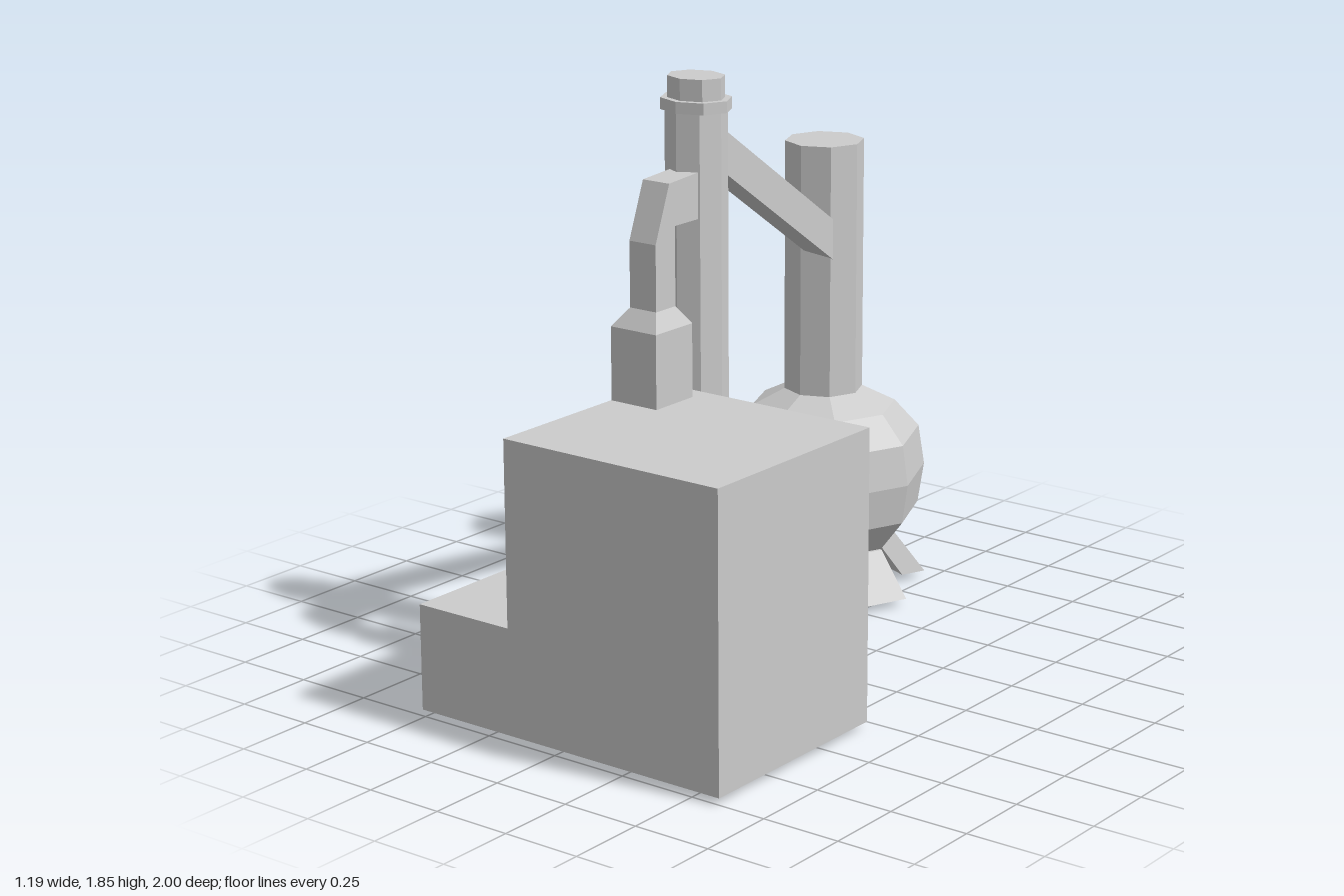
import * as THREE from 'three';

const material = new THREE.MeshStandardMaterial({ color: 0xcccccc, flatShading: true });

export function createModel() {
  const model = new THREE.Group();

  const add = (name, geometry, parent = model) => {
    const mesh = new THREE.Mesh(geometry, material);
    mesh.name = name;
    parent.add(mesh);
    return mesh;
  };

  // Box given by its limits on each axis
  const block = (x0, x1, y0, y1, z0, z1) =>
    new THREE.BoxGeometry(x1 - x0, y1 - y0, z1 - z0)
      .translate((x0 + x1) / 2, (y0 + y1) / 2, (z0 + z1) / 2);

  // Box whose lower and upper rectangles differ: [x0, x1, z0, z1]
  const frustum = (y0, y1, low, high) => {
    const g = new THREE.BoxGeometry(1, 1, 1);
    const p = g.attributes.position;
    for (let i = 0; i < p.count; i++) {
      const r = p.getY(i) > 0 ? high : low;
      p.setXYZ(i, r[p.getX(i) > 0 ? 1 : 0], p.getY(i) > 0 ? y1 : y0, r[p.getZ(i) > 0 ? 3 : 2]);
    }
    g.computeVertexNormals();
    return g;
  };

  // Side outline of [z, y] points extruded across x
  const duct = (points, x0, x1) => {
    const shape = new THREE.Shape(points.map(([z, y]) => new THREE.Vector2(z, y)));
    return new THREE.ExtrudeGeometry(shape, { depth: x1 - x0, bevelEnabled: false })
      .rotateY(-Math.PI / 2).translate(x1, 0, 0);
  };

  // Buildings
  add('mainBuilding', block(-0.17, 0.595, 0.02, 0.92, 0.29, 1));
  add('lowBuilding', block(-0.51, -0.17, 0.02, 0.35, -0.05, 1));
  add('roofHatch', block(-0.43, -0.255, 0.345, 0.375, 0.365, 0.555));
  add('sideDoor', block(-0.525, -0.505, 0.02, 0.2, 0.03, 0.11));

  // Slim chimney, slightly oval octagons
  const chimney = new THREE.Group();
  chimney.name = 'chimney';
  chimney.position.set(-0.09, 0, 0.21);
  model.add(chimney);
  for (const [name, rx, rz, y0, y1] of [
    ['chimneyShaft', 0.092, 0.096, 0, 1.75],
    ['chimneyCollar', 0.113, 0.097, 1.75, 1.785],
    ['chimneyTip', 0.092, 0.077, 1.785, 1.85],
  ]) {
    add(name, new THREE.CylinderGeometry(1, 1, y1 - y0, 8)
      .scale(rx, 1, rz).translate(0, (y0 + y1) / 2, 0), chimney);
  }

  // Roof vent bending back into the chimney
  add('roofVentBase', block(-0.168, 0, 0.92, 1.145, 0.35, 0.52));
  add('roofVentTaper', frustum(1.145, 1.2, [-0.168, 0, 0.35, 0.52], [-0.127, -0.03, 0.39, 0.48]));
  add('roofVentDuct', duct([
    [0.48, 1.2], [0.48, 1.4], [0.415, 1.57], [0.27, 1.58], [0.27, 1.44], [0.39, 1.44], [0.39, 1.2],
  ], -0.127, -0.03));

  // Ground unit with its duct bending forward into the chimney
  add('groundUnitBase', block(-0.165, 0.1, 0, 0.275, -0.15, 0.117));
  add('groundUnitTaper', frustum(0.275, 0.335, [-0.165, 0.1, -0.15, 0.117], [-0.1, 0.037, -0.087, 0.06]));
  add('groundUnitDuct', duct([
    [0.06, 0.335], [0.06, 0.575], [0.275, 0.575], [0.275, 0.722], [0.11, 0.722],
    [0.005, 0.71], [-0.087, 0.54], [-0.087, 0.335],
  ], -0.1, 0.037));

  // Round vessel with its stack
  const vessel = new THREE.Group();
  vessel.name = 'vessel';
  vessel.position.set(-0.255, 0, -0.66);
  model.add(vessel);
  const profile = [
    [0, 0.075], [0.13, 0.1], [0.237, 0.17], [0.315, 0.27],
    [0.335, 0.4], [0.315, 0.53], [0.235, 0.62], [0.127, 0.674], [0, 0.674],
  ].map(([r, y]) => new THREE.Vector2(r, y));
  add('vesselBody', new THREE.LatheGeometry(profile, 8), vessel);
  add('vesselStack', new THREE.CylinderGeometry(0.127, 0.127, 0.82, 8).translate(0, 1.08, 0), vessel);

  // Four splayed feet, one under every other face
  for (let i = 0; i < 4; i++) {
    const foot = add('vesselFoot',
      frustum(0.022, 0.165, [-0.12, 0.12, 0.235, 0.322], [-0.088, 0.088, 0.14, 0.222]), vessel);
    foot.rotation.y = -Math.PI / 8 + i * Math.PI / 2;
  }

  // Sloping beam from the stack to the chimney, with upright ends
  const beam = new THREE.BoxGeometry(0.09, 0.13, 1);
  const p = beam.attributes.position;
  for (let i = 0; i < p.count; i++) {
    const t = p.getZ(i) + 0.5;
    p.setXYZ(i,
      p.getX(i) + THREE.MathUtils.lerp(-0.21, -0.083, t),
      p.getY(i) + THREE.MathUtils.lerp(1.18, 1.63, t),
      THREE.MathUtils.lerp(-0.6, 0.16, t));
  }
  beam.computeVertexNormals();
  add('connectingBeam', beam);

  return model;
}
